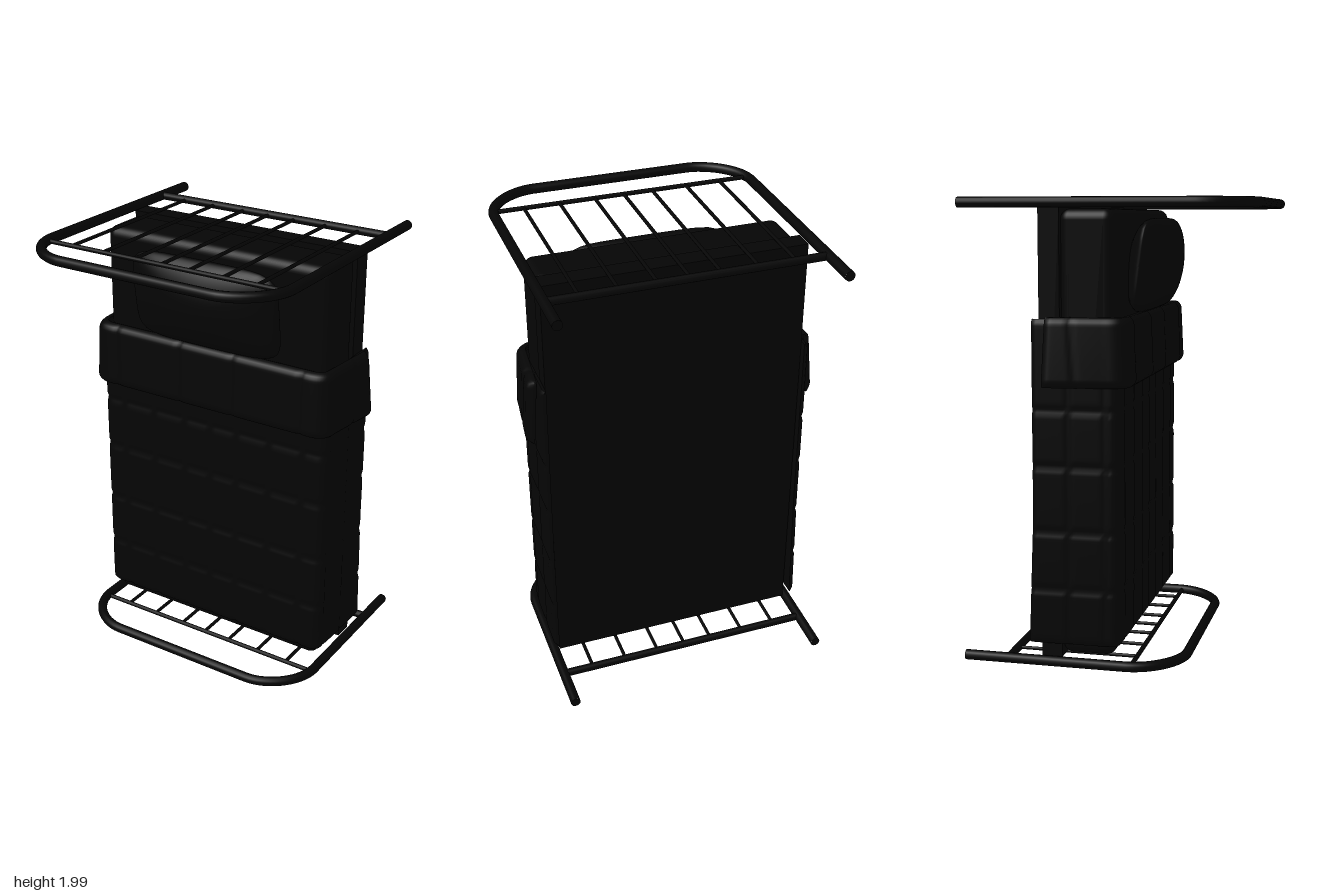
import * as THREE from 'three';
import { RoundedBoxGeometry } from 'three/addons/geometries/RoundedBoxGeometry.js';
import { toCreasedNormals } from 'three/addons/utils/BufferGeometryUtils.js';

const black = new THREE.MeshStandardMaterial({ color: 0x050505 });

function add(parent, name, geometry, x = 0, y = 0, z = 0) {
  const mesh = new THREE.Mesh(geometry, black);
  mesh.name = name;
  mesh.position.set(x, y, z);
  parent.add(mesh);
  return mesh;
}

// Bent tube frame with cross rails and slats, lying in a plane of constant y
function createBedEnd(name, y, top, railZ) {
  const group = new THREE.Group();
  group.name = name;
  group.position.y = y;
  const w = 0.593, bottom = -0.63, r = 0.022, zt = top - r, c = 0.23;
  const path = new THREE.CurvePath();
  const v = (x, z) => new THREE.Vector3(x, 0, z);
  const k = 0.45; // control handle position for near-circular corners
  path.add(new THREE.LineCurve3(v(-w, bottom), v(-w, zt - c)));
  path.add(new THREE.CubicBezierCurve3(v(-w, zt - c), v(-w, zt - c * k), v(-w + c * (1 - k), zt), v(-w + c, zt)));
  path.add(new THREE.LineCurve3(v(-w + c, zt), v(w - c, zt)));
  path.add(new THREE.CubicBezierCurve3(v(w - c, zt), v(w - c * (1 - k), zt), v(w, zt - c * k), v(w, zt - c)));
  path.add(new THREE.LineCurve3(v(w, zt - c), v(w, bottom)));
  add(group, 'bentTube', new THREE.TubeGeometry(path, 140, r, 14));
  for (const x of [-w, w]) {
    add(group, 'legCap', new THREE.CircleGeometry(r, 14).rotateY(Math.PI), x, 0, bottom);
  }

  const lowZ = -0.438;
  for (const [z, radius] of [[lowZ, 0.018], [railZ, 0.01]]) {
    add(group, 'crossRail', new THREE.CylinderGeometry(radius, radius, 2 * w, 12).rotateZ(Math.PI / 2), 0, 0, z);
  }
  for (const x of [-0.453, -0.292, -0.132, 0, 0.134, 0.294, 0.454]) {
    add(group, 'slat', new THREE.CylinderGeometry(0.008, 0.008, railZ - lowZ, 8).rotateX(Math.PI / 2),
      x, 0, (railZ + lowZ) / 2);
  }
  return group;
}

// Thick quilted cloth: a U-shaped section swept along y, grooved at the seams
function createDrape({ y0, y1, rows, n, section, thickness, seamsX, seamsY, round }) {
  const groove = (value, seams, width) =>
    seams.reduce((sum, s) => Math.max(sum, Math.exp(-(((value - s) / width) ** 2))), 0);
  const positions = [], index = [], m = 2 * (n + 1);
  for (let j = 0; j <= rows; j++) {
    const t = j / rows, y = y0 + (y1 - y0) * t;
    const { w, flare, front, end, radius } = section(t);
    const path = new THREE.Path();
    path.moveTo(-flare, end);
    path.lineTo(-w, front - radius);
    path.quadraticCurveTo(-w, front, -w + radius, front);
    path.lineTo(w - radius, front);
    path.quadraticCurveTo(w, front, w, front - radius);
    path.lineTo(flare, end);
    const length = path.getLength();
    const outer = [], inner = [];
    const edge = Math.min(y - y0, y1 - y);
    const rim = round * Math.max(0, 1 - edge / round) ** 2 * 0.6;
    for (let i = 0; i <= n; i++) {
      const u = i / n, s = (u - 0.5) * length;
      const p = path.getPointAt(u), tan = path.getTangentAt(u);
      const side = Math.min(u, 1 - u) * length;
      const hem = round * Math.max(0, 1 - side / round) ** 2 * 0.6;
      const seam = Math.max(groove(s, seamsX, 0.012), groove(y, seamsY, 0.012));
      const depth = Math.min(thickness * 0.8, 0.007 * seam + rim + hem);
      outer.push([p.x + tan.y * depth, y, p.y - tan.x * depth]);
      inner.push([p.x + tan.y * thickness, y, p.y - tan.x * thickness]);
    }
    positions.push(...outer.flat(), ...inner.reverse().flat());
  }
  const quad = (a, b, c, d) => index.push(a, b, c, a, c, d);
  for (let j = 0; j < rows; j++) {
    for (let i = 0; i < m; i++) {
      const k = (i + 1) % m;
      quad(j * m + i, j * m + k, (j + 1) * m + k, (j + 1) * m + i);
    }
  }
  const last = rows * m;
  for (let i = 0; i < n; i++) {
    const a = i, b = i + 1, c = m - 2 - i, d = m - 1 - i;
    quad(a, d, c, b);
    quad(last + a, last + b, last + c, last + d);
  }
  const geometry = new THREE.BufferGeometry();
  geometry.setAttribute('position', new THREE.Float32BufferAttribute(positions, 3));
  geometry.setIndex(index);
  return toCreasedNormals(geometry, 0.9);
}

// Lens-shaped cushion with a rounded rectangular outline
function createPillow(halfW, halfH, halfT) {
  const geometry = new THREE.SphereGeometry(1, 64, 40).rotateX(Math.PI / 2);
  const pos = geometry.attributes.position;
  for (let i = 0; i < pos.count; i++) {
    const x = pos.getX(i), y = pos.getY(i), z = pos.getZ(i);
    const r = Math.hypot(x, y) || 1;
    const k = (Math.abs(x / r) ** 6 + Math.abs(y / r) ** 6) ** (-1 / 6);
    const stretch = 1 + (k - 1) * Math.min(1, r) ** 2;
    pos.setXYZ(i, x * stretch * halfW, y * stretch * halfH, Math.sign(z) * Math.abs(z) ** 1.25 * halfT);
  }
  geometry.computeVertexNormals();
  return geometry;
}

export function createModel() {
  const model = new THREE.Group();
  model.name = 'bed';

  model.add(createBedEnd('headboard', 1.978, 0.62, 0.41));
  model.add(createBedEnd('footboard', 0.03, 0.33, 0.103));

  // Base and mattress
  add(model, 'bedBase', new THREE.BoxGeometry(1.145, 1.92, 0.09), 0, 1.005, -0.245);
  add(model, 'mattress', new RoundedBoxGeometry(1.135, 1.895, 0.235, 5, 0.045), 0, 1.005, -0.087);

  // Quilted blanket hanging over both long sides
  add(model, 'blanket', createDrape({
    y0: 0.11, y1: 1.5, rows: 100, n: 170, thickness: 0.024, round: 0.02,
    seamsX: [-0.8, -0.64, -0.48, -0.31, -0.14, 0, 0.14, 0.31, 0.48, 0.64, 0.8],
    seamsY: [0.35, 0.6, 0.88, 1.12],
    section: (t) => ({
      w: 0.6, flare: 0.607 - 0.008 * t, front: 0.062, radius: 0.06,
      end: -0.318 - 0.02 * Math.max(0, 1 - t * 2.5),
    }),
  }));

  // Turned-back fold at the head of the blanket
  add(model, 'blanketFold', createDrape({
    y0: 1.22, y1: 1.51, rows: 30, n: 150, thickness: 0.04, round: 0.03,
    seamsX: [-0.82, -0.48, -0.14, 0.14, 0.48, 0.82], seamsY: [],
    section: (t) => ({
      w: 0.625 - 0.01 * t, flare: 0.662 - 0.025 * t, front: 0.112 - 0.012 * t,
      radius: 0.1, end: -0.26 + 0.01 * t,
    }),
  }));

  const pillow = add(model, 'pillow', createPillow(0.37, 0.205, 0.108), 0, 1.71, 0.088);
  pillow.rotation.x = 0.13;

  return model;
}
